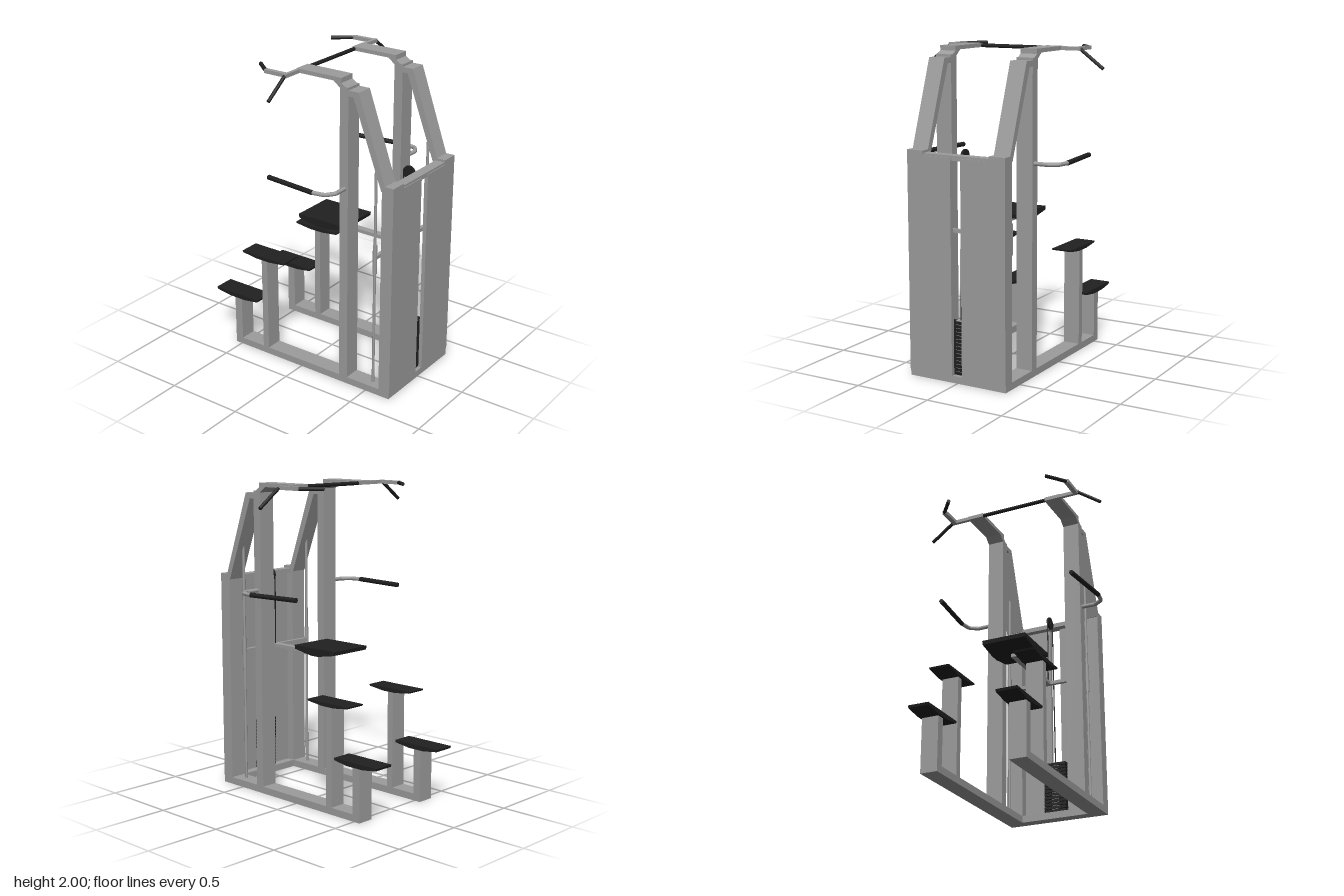
import * as THREE from 'three';

export function createModel() {
  const root = new THREE.Group();
  const make = (name, color) => {
    const m = new THREE.MeshStandardMaterial({ color });
    m.name = name;
    return m;
  };
  const steel = make('grey steel', 0x9c9c9c);
  const black = make('black padding', 0x202020);

  const add = (name, geometry, material, parent = root) => {
    const mesh = new THREE.Mesh(geometry, material);
    mesh.name = name;
    parent.add(mesh);
    return mesh;
  };
  // Box given by its limits on each axis
  const box = (name, [x0, x1], [y0, y1], [z0, z1], material = steel) => {
    const g = new THREE.BoxGeometry(x1 - x0, y1 - y0, z1 - z0);
    g.translate((x0 + x1) / 2, (y0 + y1) / 2, (z0 + z1) / 2);
    return add(name, g, material);
  };
  // Side profile extruded across z
  const profile = (name, points, z0, z1, material = steel) => {
    const shape = new THREE.Shape(points.map(p => new THREE.Vector2(...p)));
    const g = new THREE.ExtrudeGeometry(shape, { depth: z1 - z0, bevelEnabled: false });
    g.translate(0, 0, z0);
    return add(name, g, material);
  };
  // Round bar between two points
  const bar = (name, a, b, radius, material = steel, sides = 10) => {
    const p = new THREE.Vector3(...a), q = new THREE.Vector3(...b);
    const d = q.clone().sub(p);
    const mesh = add(name, new THREE.CylinderGeometry(radius, radius, d.length(), sides), material);
    mesh.position.copy(p).add(q).multiplyScalar(0.5);
    mesh.quaternion.setFromUnitVectors(new THREE.Vector3(0, 1, 0), d.normalize());
    return mesh;
  };
  // Cushion with a flat top and shallow sloping underside
  const pad = (name, x0, x1, bottom, top, lip, flat, z0, z1) => {
    const c = (x0 + x1) / 2;
    profile(name, [[x0, top], [x0 + 0.005, top - lip], [c - flat, bottom],
      [c + flat, bottom], [x1 - 0.005, top - lip], [x1, top]], z0, z1, black);
  };

  for (const s of [1, -1]) {
    const span = (a, b) => (s > 0 ? [a, b] : [-b, -a]);
    const rail = span(0.228, 0.338);
    const [r0, r1] = rail;

    // Base, uprights and rear column
    box('baseRail', [-0.545, 0.675], [0, 0.045], rail);
    box('mainUpright', [0.3, 0.36], [0.045, 1.95], rail);
    box('rearColumn', [0.6, 0.68], [0.045, 1.38], rail);
    box('lowStepPost', [-0.545, -0.49], [0.045, 0.345], rail);
    box('highStepPost', [-0.312, -0.268], [0.045, 0.68], rail);
    box('rearPanel', [0.655, 0.68], [0.045, 1.375], span(0.035, 0.23));

    // Overhead beam, elbow and sloping rear brace
    profile('topFrame', [[-0.012, 1.975], [0.255, 1.975], [0.3, 1.94], [0.36, 1.9], [0.395, 1.9],
      [0.595, 1.37], [0.68, 1.37], [0.68, 1.405], [0.62, 1.405],
      [0.432, 1.935], [0.36, 1.935], [0.31, 1.97], [0.31, 2], [-0.012, 2]], r0, r1);

    // Foot steps
    const step = span(0.215, 0.35);
    pad('lowStepPad', -0.69, -0.345, 0.342, 0.372, 0.015, 0.06, ...step);
    pad('highStepPad', -0.46, -0.12, 0.678, 0.702, 0.01, 0.05, ...step);

    // Guide rod with sliding sleeve
    bar('guideRod', [0.522, 0.045, s * 0.283], [0.522, 1.6, s * 0.283], 0.009);
    bar('guideSleeve', [0.522, 0.8, s * 0.283], [0.522, 0.99, s * 0.283], 0.014);

    // Dip handle: curved arm and straight grip
    const path = new THREE.CurvePath();
    const pts = [[0.335, 0.32], [0.338, 0.43], [0.3, 0.485], [0.22, 0.498]]
      .map(([x, z]) => new THREE.Vector3(x, 1.325, s * z));
    for (let i = 0; i < 3; i++) path.add(new THREE.LineCurve3(pts[i], pts[i + 1]));
    add('dipArm', new THREE.TubeGeometry(path, 18, 0.013, 10), steel);
    bar('dipGrip', [0.22, 1.325, s * 0.498], [-0.14, 1.325, s * 0.46], 0.015, black);

    // Pull-up handles: drooping outer grip and angled front grip
    box('pullUpExtension', [-0.01, 0.012], [1.975, 1.998], span(0.33, 0.47));
    bar('wideGrip', [0, 1.985, s * 0.465], [0, 1.872, s * 0.618], 0.011, black);
    box('frontHandleArm', [-0.155, 0], [1.975, 1.998], span(0.433, 0.462));
    bar('frontGrip', [-0.152, 1.986, s * 0.447], [-0.268, 1.986, s * 0.352], 0.012, black);
  }

  // Cross members
  box('rearBaseBeam', [0.6, 0.675], [0, 0.045], [-0.23, 0.23]);
  box('rearTopBeam', [0.612, 0.675], [1.36, 1.39], [-0.23, 0.23]);
  bar('pullUpBar', [0, 1.986, -0.23], [0, 1.986, 0.23], 0.012, black);

  // Assisting knee platform and its carriage
  box('platformArm', [0, 0.522], [0.895, 0.917], [-0.023, 0.023]);
  box('carriageBar', [0.51, 0.534], [0.895, 0.917], [-0.28, 0.28]);
  pad('kneePad', -0.155, 0.197, 0.918, 0.968, 0.025, 0.03, -0.148, 0.148);

  // Weight stack with selector pin
  const plates = 15;
  for (let i = 0; i < plates; i++) {
    const y = 0.047 + i * 0.0226;
    box('weightPlate', [0.615, 0.652], [y, y + 0.018], [-0.075, 0.075], black);
  }
  box('stackCore', [0.62, 0.647], [0.045, 0.385], [-0.025, 0.025], steel);
  bar('selectorPin', [0.587, 0.29, 0], [0.62, 0.29, 0], 0.008, black);

  // Pulley and cable
  bar('pulley', [0.57, 1.375, -0.006], [0.57, 1.375, 0.006], 0.042, black, 20);
  box('pulleyBracket', [0.57, 0.62], [1.365, 1.385], [-0.008, 0.008], black);
  bar('carriageCable', [0.53, 1.375, 0], [0.53, 0.91, 0], 0.004, black, 6);
  bar('stackCable', [0.61, 1.375, 0], [0.63, 0.38, 0], 0.004, black, 6);

  return root;
}
